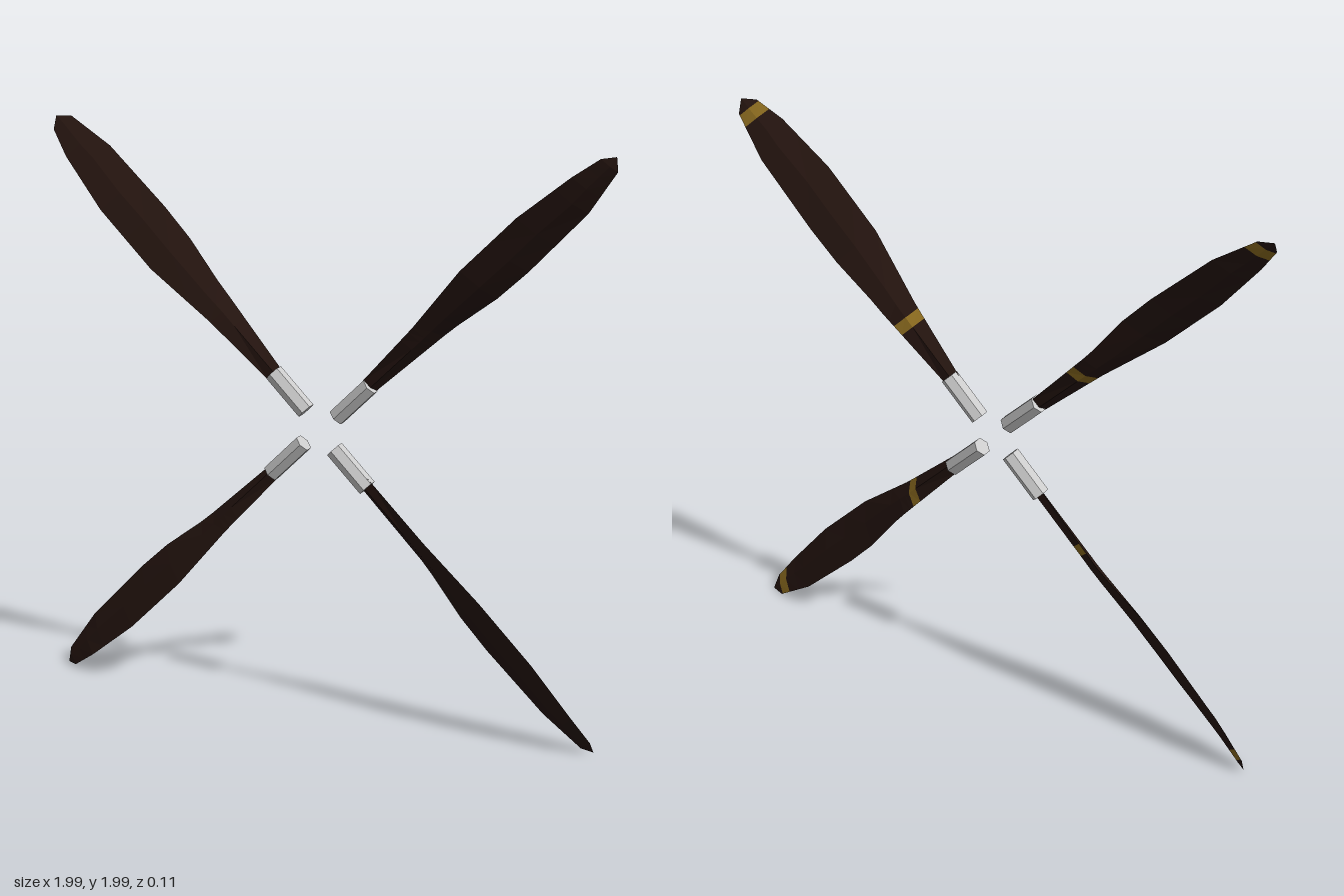
import * as THREE from 'three';

const wood = new THREE.MeshStandardMaterial({ color: 0x24140f, flatShading: true });
const gold = new THREE.MeshStandardMaterial({ color: 0x8a6a1f, flatShading: true });
const grey = new THREE.MeshStandardMaterial({ color: 0xcccccc, flatShading: true });

// Blade edges as [radius, sideways, depth]; the blade is pitched, so one edge sits further back
const trailing = [[0.2, 0.027, -0.022], [0.245, 0.03, -0.026], [0.55, 0.046, -0.05], [0.611, 0.051, -0.05],
  [0.781, 0.074, -0.051], [0.921, 0.079, -0.051], [1.202, 0.071, -0.05], [1.368, 0.039, -0.037], [1.403, 0.004, -0.02]];
const leading = [[0.2, -0.02, -0.004], [0.245, -0.023, -0.003], [0.517, -0.037, 0.02], [0.784, -0.064, 0.048],
  [1.049, -0.064, 0.049], [1.267, -0.041, 0.033], [1.369, -0.023, 0.008], [1.403, 0.004, -0.02]];
// Half thickness along the blade
const thickness = [[0.2, 0.013], [0.5, 0.014], [0.8, 0.016], [1.2, 0.013], [1.37, 0.007], [1.403, 0]];
// Painted bands on the back face
const bands = [[0.455, 0.495], [1.32, 1.362]];

function sample(table, r) {
  let i = 1;
  while (i < table.length - 1 && table[i][0] < r) i++;
  const a = table[i - 1], b = table[i];
  const f = (r - a[0]) / (b[0] - a[0]);
  return a.map((v, k) => v + (b[k] - v) * f);
}

// Four-sided section: trailing edge, back ridge, leading edge, front ridge
function section(r) {
  const [, ax, az] = sample(trailing, r);
  const [, bx, bz] = sample(leading, r);
  const h = sample(thickness, r)[1];
  const mx = (ax + bx) / 2, mz = (az + bz) / 2;
  return [[ax, r, az], [mx - 0.57 * h, r, mz - 0.82 * h], [bx, r, bz], [mx + 0.57 * h, r, mz + 0.82 * h]];
}

function toGeometry(points) {
  const g = new THREE.BufferGeometry();
  g.setAttribute('position', new THREE.Float32BufferAttribute(points.flat(), 3));
  g.computeVertexNormals();
  return g;
}

function bladeGeometries() {
  const radii = [...new Set([...trailing, ...leading].map(p => p[0]).concat(bands.flat()))].sort((a, b) => a - b);
  const rings = radii.map(section);
  const body = [], paint = [];
  for (let i = 0; i < rings.length - 1; i++) {
    const mid = (radii[i] + radii[i + 1]) / 2;
    const inBand = bands.some(([lo, hi]) => mid > lo && mid < hi);
    for (let j = 0; j < 4; j++) {
      const k = (j + 1) % 4;
      const [a, b, c, d] = [rings[i][j], rings[i][k], rings[i + 1][k], rings[i + 1][j]];
      (inBand && j < 2 ? paint : body).push(a, b, c, a, c, d);
    }
  }
  return [toGeometry(body), toGeometry(paint)];
}

export function createModel() {
  const model = new THREE.Group();
  model.name = 'propeller';
  const [bodyGeo, paintGeo] = bladeGeometries();

  // Hexagonal root sleeve with its corners facing front and back
  const sleeveGeo = new THREE.CylinderGeometry(0.032, 0.032, 0.17, 6);
  sleeveGeo.translate(0.006, 0.165, -0.014);

  const add = (parent, name, geo, mat) => {
    const mesh = new THREE.Mesh(geo, mat);
    mesh.name = name;
    parent.add(mesh);
  };

  // Four identical arms in a diagonal cross
  for (let i = 0; i < 4; i++) {
    const arm = new THREE.Group();
    arm.name = 'bladeArm' + (i + 1);
    add(arm, 'blade', bodyGeo, wood);
    add(arm, 'bladeBands', paintGeo, gold);
    add(arm, 'rootSleeve', sleeveGeo, grey);
    arm.rotation.z = Math.PI / 4 + i * Math.PI / 2;
    model.add(arm);
  }

  // Slight backward lean of the whole disc
  model.rotation.x = -0.008;
  model.position.y = 1;

  const root = new THREE.Group();
  root.name = 'propellerAssembly';
  root.add(model);
  return root;
}
